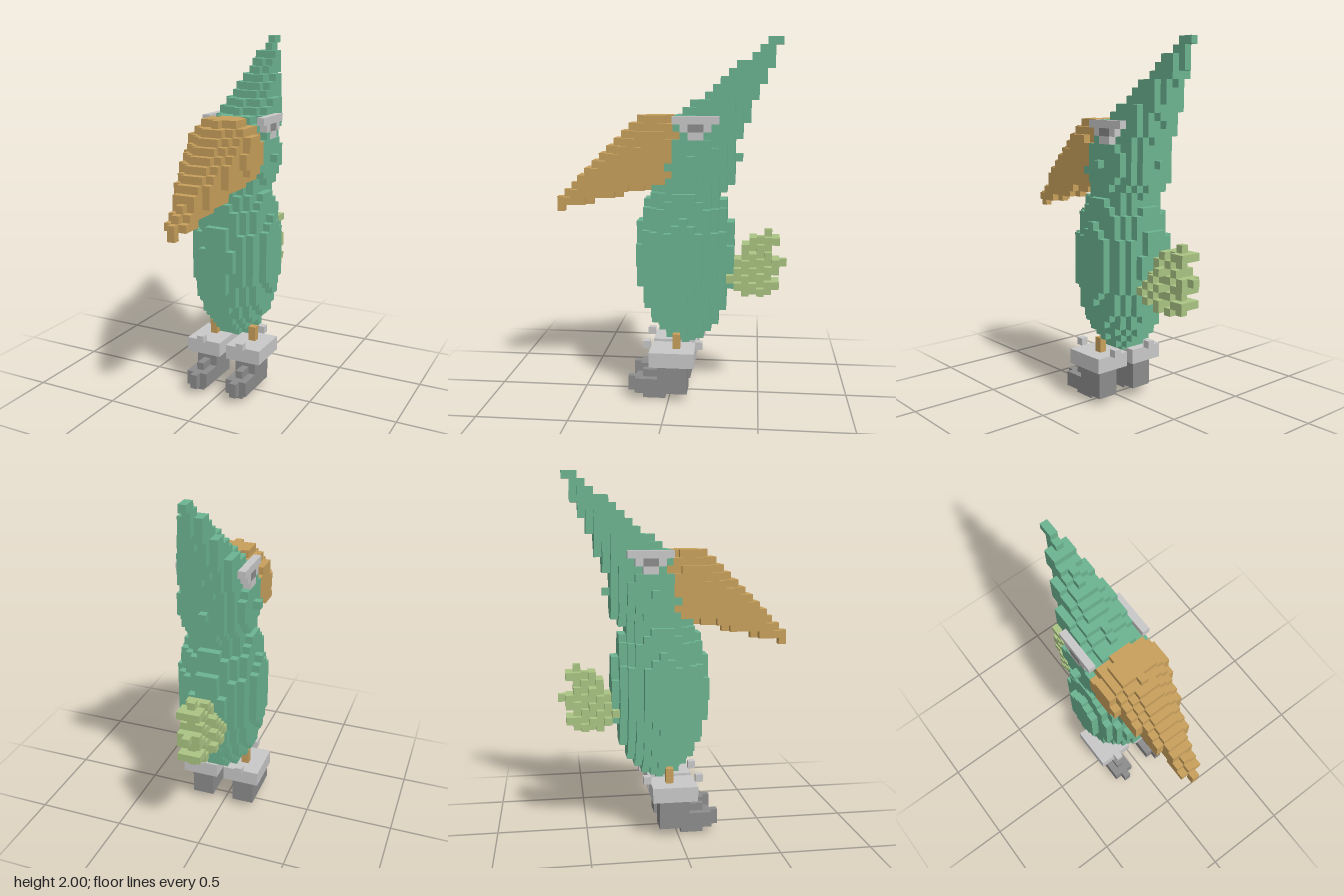
import * as THREE from 'three';

const V = 1 / 24; // edge of one cube

const mat = (name, color) => {
  const m = new THREE.MeshStandardMaterial({ color });
  m.name = name;
  return m;
};

// Solid rules in cube units: ellipsoid, box and tapered rod in the x = 0 plane
const ellipsoid = (cy, cz, a, b, c) => (x, y, z) =>
  (x / a) ** 2 + ((y - cy) / b) ** 2 + ((z - cz) / c) ** 2 <= 1.0001;

// Box mirrored to both sides
const pair = (x0, x1, y0, y1, z0, z1) => (x, y, z) =>
  Math.abs(x) >= x0 && Math.abs(x) <= x1 && y >= y0 && y <= y1 && z >= z0 && z <= z1;

const taper = (y0, z0, r0, y1, z1, r1) => (x, y, z) => {
  for (let s = 0; s <= 60; s++) {
    const t = s / 60;
    const dy = y - y0 - (y1 - y0) * t;
    const dz = z - z0 - (z1 - z0) * t;
    const r = r0 + (r1 - r0) * t;
    if (x * x + dy * dy + dz * dz <= r * r) return true;
  }
  return false;
};

const any = (...rules) => (x, y, z) => rules.some((f) => f(x, y, z));

// Tail fan: front and back end of each row, from the bottom row up
const tailRows = [[-10, -13], [-8, -14], [-8, -13], [-9, -14], [-9, -15],
  [-10, -13], [-10, -13], [-11, -14], [-13, -13]];
const tailRule = (x, y, z) => {
  const row = tailRows[y - 14];
  if (!row || z > row[0] || z < row[1]) return false;
  const half = z === -15 || y === 22 ? 0 : z >= -11 && y >= 15 && y <= 19 ? 2 : 1;
  const ax = Math.abs(x);
  return ax < half || (ax === half && (half === 0 || z === -14 || (y + z) % 2 === 0));
};

// Six cube sides: normal and two edge directions with u x v = n
const SIDES = [];
for (let a = 0; a < 3; a++) {
  for (const s of [1, -1]) {
    const n = [0, 0, 0], u = [0, 0, 0], v = [0, 0, 0];
    n[a] = s;
    u[(a + 1) % 3] = s;
    v[(a + 2) % 3] = 1;
    SIDES.push({ n, u, v });
  }
}

const key = (x, y, z) => `${x},${y},${z}`;

export function createModel() {
  const green = mat('feather green', 0x6cb491);
  const orange = mat('beak orange', 0xc8a05c);
  const lightGrey = mat('light grey', 0xc8c8c8);
  const darkGrey = mat('dark grey', 0x8c8c8c);
  const lime = mat('tail green', 0xaac483);

  // Earlier parts win where two overlap
  const parts = [
    ['pupils', darkGrey, pair(4, 4, 36, 36, -4, -3)],
    ['eyes', lightGrey, any(
      pair(4, 4, 37, 37, -6, -1), pair(4, 4, 36, 36, -5, -2), pair(4, 4, 35, 35, -4, -3))],
    ['beak', orange, (() => {
      const cone = taper(33, 1.8, 4.65, 25.5, 15, 0.72);
      return (x, y, z) => z >= -1 && cone(x, y, z);
    })()],
    ['head', green, ellipsoid(32, -3, 5, 6, 6)],
    ['crest', green, taper(35.8, -5.3, 4.0, 47, -13.6, 0.65)],
    ['body', green, ellipsoid(19, -2, 5.5, 12, 6.5)],
    ['tail', lime, tailRule],
    ['legs', orange, pair(3, 3, 7, 8, -1, -1)],
    ['shoeCuffs', lightGrey, any(
      pair(1, 5, 5, 6, -3, 2), pair(3, 3, 7, 7, 3, 3), pair(3, 3, 7, 7, -4, -4))],
    ['feet', darkGrey, any(
      pair(2, 4, 1, 4, -2, 1), pair(2, 4, 1, 2, 2, 4), pair(3, 3, 1, 2, 5, 5),
      pair(3, 3, 3, 3, 2, 3), pair(3, 3, 0, 0, 1, 3))],
  ];

  // Fill the grid
  const taken = new Set();
  const cells = parts.map(() => []);
  parts.forEach(([, , rule], p) => {
    for (let x = -5; x <= 5; x++) {
      for (let y = 0; y < 48; y++) {
        for (let z = -15; z <= 15; z++) {
          const k = key(x, y, z);
          if (taken.has(k) || !rule(x, y, z)) continue;
          taken.add(k);
          cells[p].push([x, y, z]);
        }
      }
    }
  });

  // Skin each part with its exposed cube sides
  const group = new THREE.Group();
  group.name = 'cubeBird';
  parts.forEach(([name, material], p) => {
    const pos = [], nor = [], idx = [];
    for (const [x, y, z] of cells[p]) {
      const c = [x, y + 0.5, z];
      for (const { n, u, v } of SIDES) {
        if (taken.has(key(x + n[0], y + n[1], z + n[2]))) continue;
        const b = pos.length / 3;
        for (const [i, j] of [[-1, -1], [1, -1], [1, 1], [-1, 1]]) {
          for (let a = 0; a < 3; a++) pos.push((c[a] + (n[a] + u[a] * i + v[a] * j) / 2) * V);
          nor.push(...n);
        }
        idx.push(b, b + 1, b + 2, b, b + 2, b + 3);
      }
    }
    const g = new THREE.BufferGeometry();
    g.setAttribute('position', new THREE.Float32BufferAttribute(pos, 3));
    g.setAttribute('normal', new THREE.Float32BufferAttribute(nor, 3));
    g.setIndex(idx);
    const mesh = new THREE.Mesh(g, material);
    mesh.name = name;
    group.add(mesh);
  });
  return group;
}
